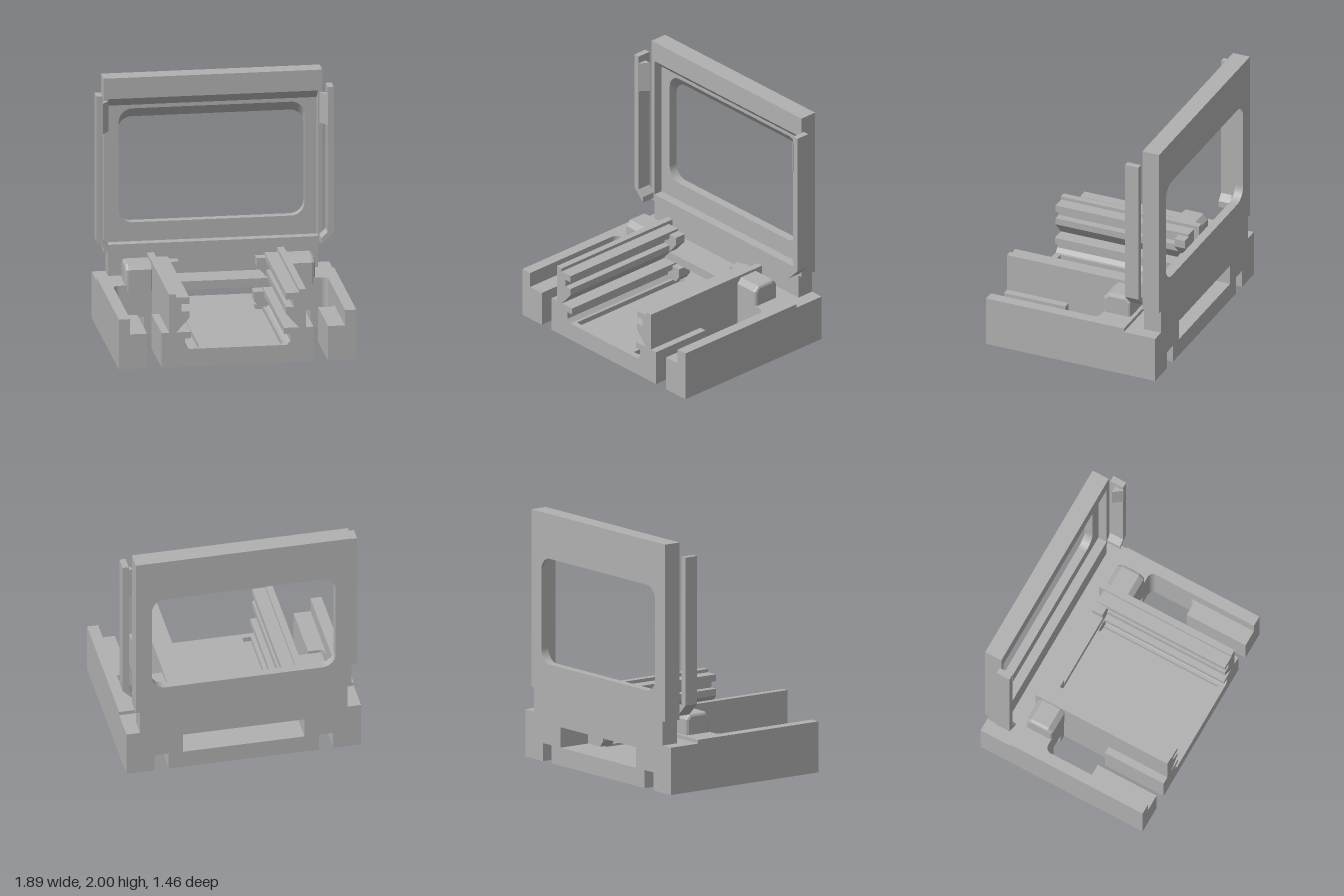
import * as THREE from 'three';

export function createModel() {
  const model = new THREE.Group();
  model.name = 'hingedFrameCradle';
  const grey = new THREE.MeshStandardMaterial({ color: 0xb0b0b0 });
  grey.name = 'plain grey';

  const add = (name, geo) => {
    const mesh = new THREE.Mesh(geo, grey);
    mesh.name = name;
    model.add(mesh);
    return mesh;
  };
  // Box given by its limits; s mirrors x
  const box = (name, x0, x1, y0, y1, z0, z1, s = 1) => {
    const g = new THREE.BoxGeometry(x1 - x0, y1 - y0, z1 - z0);
    g.translate(s * (x0 + x1) / 2, (y0 + y1) / 2, (z0 + z1) / 2);
    return add(name, g);
  };
  const poly = (pts, s = 1) => new THREE.Shape(pts.map(([x, y]) => new THREE.Vector2(s * x, y)));
  // Front-facing profile pushed from z0 to z1
  const extrudeZ = (shape, z0, z1) => {
    const g = new THREE.ExtrudeGeometry(shape, { depth: z1 - z0, bevelEnabled: false, curveSegments: 12 });
    return g.translate(0, 0, z0);
  };
  // Lower the back-edge vertices inside a region, to slope the top of an opening
  const slopeTop = (geo, zBack, halfWidth, yMin, yMax, drop) => {
    const p = geo.attributes.position;
    for (let i = 0; i < p.count; i++) {
      const y = p.getY(i);
      if (Math.abs(p.getZ(i) - zBack) < 0.001 && Math.abs(p.getX(i)) < halfWidth && y > yMin && y < yMax) {
        p.setY(i, y - drop);
      }
    }
    geo.computeVertexNormals();
    return geo;
  };
  const rectPath = (hw, y0, y1, r) => {
    const p = new THREE.Path();
    p.moveTo(-hw + r, y0);
    p.lineTo(hw - r, y0);
    if (r) p.absarc(hw - r, y0 + r, r, -Math.PI / 2, 0);
    p.lineTo(hw, y1 - r);
    if (r) p.absarc(hw - r, y1 - r, r, 0, Math.PI / 2);
    p.lineTo(-hw + r, y1);
    if (r) p.absarc(-hw + r, y1 - r, r, Math.PI / 2, Math.PI);
    p.lineTo(-hw, y0 + r);
    if (r) p.absarc(-hw + r, y0 + r, r, Math.PI, Math.PI * 1.5);
    return p;
  };

  // Channel with grooved rails: half profile, outside bottom to floor
  const half = [
    [0.545, 0], [0.545, 0.597], [0.49, 0.597], [0.49, 0.57], [0.385, 0.57], [0.385, 0.515],
    [0.445, 0.515], [0.445, 0.455], [0.385, 0.455], [0.385, 0.4], [0.487, 0.285], [0.37, 0.285],
    [0.37, 0.233], [0.42, 0.233], [0.42, 0.175], [0.39, 0.145],
  ];
  const groove = [[0.365, 0.145], [0.365, 0.105], [0.295, 0.105], [0.295, 0.145]];
  const channel = (pts) => poly([...pts, ...pts.map(([x, y]) => [-x, y]).reverse()]);
  add('channelFront', extrudeZ(channel(half), 0.68, 0.73));
  add('channel', extrudeZ(channel([...half, ...groove]), -0.42, 0.68));

  // Rear of the tray: floor, and bridge over the tunnel
  box('rearFloor', -0.545, 0.545, 0, 0.145, -0.73, -0.42);
  box('rearBridge', -0.545, 0.545, 0.31, 0.38, -0.73, -0.345);

  for (const s of [1, -1]) {
    // Rail ends and stops
    box('railTail', 0.49, 0.545, 0, 0.597, -0.46, -0.42, s);
    box('tunnelSide', 0.49, 0.545, 0, 0.38, -0.73, -0.46, s);
    add('upperStop', extrudeZ(poly([[0.31, 0.55], [0.47, 0.55], [0.47, 0.303], [0.31, 0.483]], s), -0.42, -0.33));
    add('lowerStop', extrudeZ(
      poly([[0.29, 0.27], [0.5, 0.27], [0.5, 0.146], [0.33, 0.146], [0.29, 0.196]], s), -0.46, -0.345));

    // Side walls, with lower shelves either side of the front slot
    box('sideWall', 0.855, 0.945, 0, 0.41, -0.46, 0.73, s);
    box('wallShelf', 0.72, 0.855, 0, 0.285, 0.2, 0.73, s);
    box('railShelf', 0.545, 0.605, 0, 0.285, 0.2, 0.73, s);

    // Rear side block with a channel running underneath
    box('sideBlock', 0.545, 0.855, 0.145, 0.41, -0.46, -0.2, s);
    box('sideBlockRear', 0.545, 0.945, 0.145, 0.38, -0.73, -0.46, s);
    box('innerFoot', 0.545, 0.605, 0, 0.145, -0.73, -0.2, s);
    box('outerFoot', 0.72, 0.855, 0, 0.145, -0.73, -0.2, s);
    box('cornerFoot', 0.855, 0.945, 0, 0.145, -0.73, -0.46, s);

    // Rounded corners of the side opening
    for (const [dir, height] of [[1, 0.285], [-1, 0.41]]) {
      const r = 0.05, pts = [[0.855, -0.2 * dir]];
      for (let i = 0; i <= 6; i++) {
        const a = (i / 6) * Math.PI / 2;
        pts.push([0.855 - r + r * Math.cos(a), dir * (-0.2 + r - r * Math.sin(a))]);
      }
      const g = new THREE.ExtrudeGeometry(poly(pts, s), { depth: height, bevelEnabled: false });
      add('openingFillet', g.rotateX(-Math.PI / 2));
    }

    // Chamfered lug on top of the side block
    const lug = new THREE.ExtrudeGeometry(
      poly([[0.195, 0.36], [0.43, 0.36], [0.43, 0.535], [0.39, 0.577], [0.235, 0.577], [0.195, 0.535]]),
      { depth: 0.18, bevelEnabled: true, bevelSize: 0.022, bevelOffset: -0.022, bevelThickness: 0.025, bevelSegments: 2 });
    lug.rotateY(Math.PI / 2).translate(s > 0 ? 0.55 : -0.73, 0, 0);
    add('lug', lug);

    // Spring arm with slanted foot and wedge catch
    add('clipArm', extrudeZ(poly([
      [0.945, 1.89], [0.895, 1.89], [0.895, 0.7], [0.845, 0.65], [0.845, 0.6], [0.945, 0.7],
    ], s), -0.586, -0.47));
    const wedge = new THREE.ExtrudeGeometry(
      poly([[0.9, 0.465], [0.895, 0.465], [0.84, 0.54], [0.9, 0.54]], s), { depth: 0.25, bevelEnabled: false });
    add('clipCatch', wedge.rotateX(-Math.PI / 2).translate(0, 1.58, 0));
  }

  // Upright frame: rear panel with window, front rim around a recess
  const outline = [[-0.87, 0.575], [0.87, 0.575], [0.87, 2], [-0.87, 2]];
  const panel = poly(outline);
  panel.holes.push(rectPath(0.74, 0.79, 1.725, 0.11));
  add('framePanel', slopeTop(extrudeZ(panel, -0.73, -0.66), -0.73, 0.76, 1.2, 1.74, 0.085));
  const rim = poly(outline);
  rim.holes.push(rectPath(0.835, 0.635, 1.83, 0));
  add('frameRim', slopeTop(extrudeZ(rim, -0.66, -0.585), -0.66, 0.84, 1.7, 1.9, 0.075));
  box('frameFoot', -0.835, 0.835, 0.38, 0.575, -0.73, -0.585);

  return model;
}
